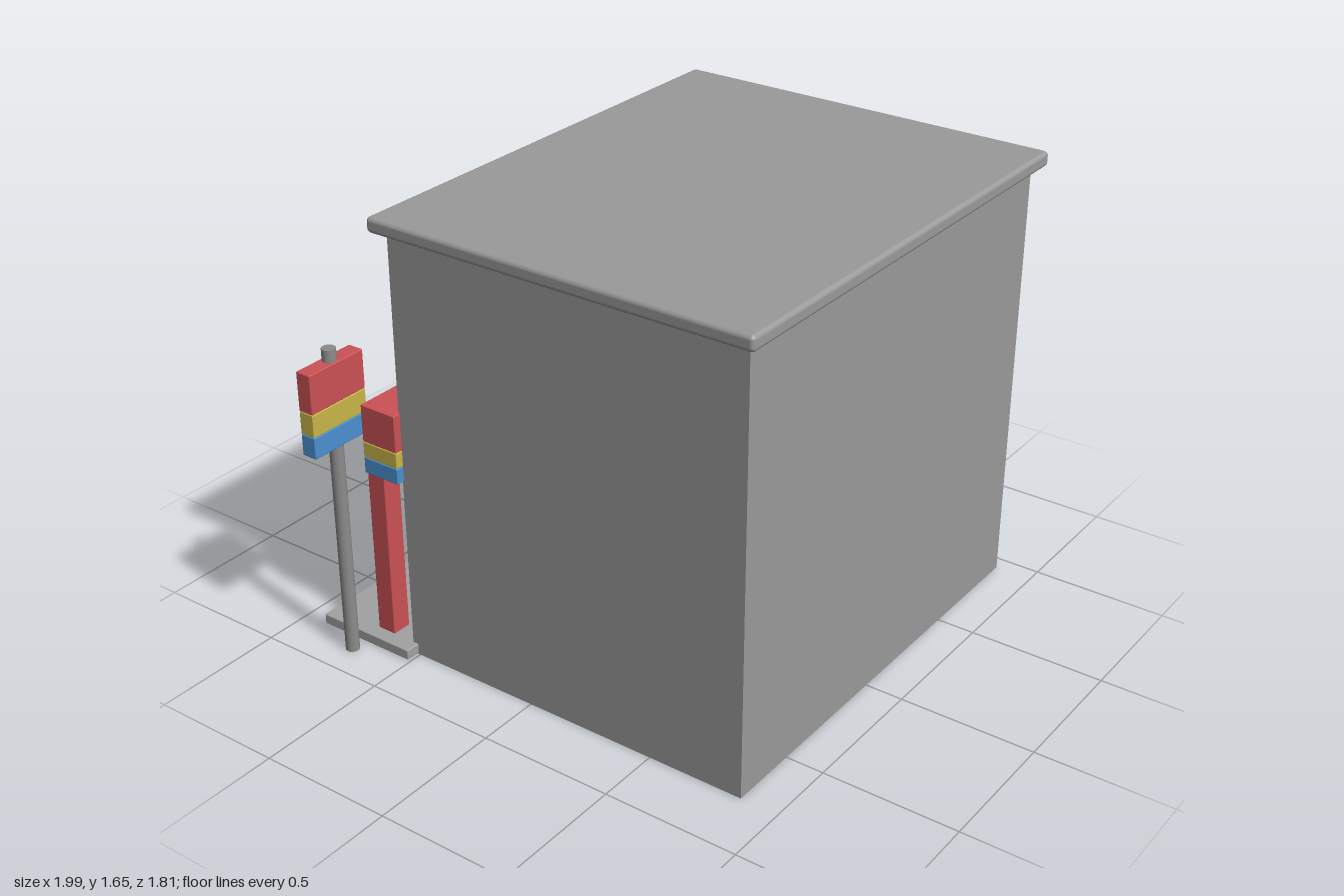
import * as THREE from 'three';
import { RoundedBoxGeometry } from 'three/addons/geometries/RoundedBoxGeometry.js';

const paint = (name, color) => {
  const m = new THREE.MeshStandardMaterial({ color });
  m.name = name;
  return m;
};

export function createModel() {
  const grey = paint('wall grey', 0x9a9a9a);
  const paving = paint('paving grey', 0xa2a2a2);
  const steel = paint('steel grey', 0x8c8c8c);
  const glass = paint('glass', 0xa6aeb2);
  const lampGlass = paint('lamp white', 0xc2cacf);
  const red = paint('red', 0xcb5154);
  const yellow = paint('yellow', 0xc8b648);
  const blue = paint('blue', 0x4a90d0);

  const model = new THREE.Group();
  model.name = 'shop';

  // Box given by its limits; a radius rounds the edges
  const box = (name, mat, [x0, x1], [y0, y1], [z0, z1], radius = 0) => {
    const size = [x1 - x0, y1 - y0, z1 - z0];
    const geo = radius ? new RoundedBoxGeometry(...size, 3, radius) : new THREE.BoxGeometry(...size);
    const mesh = new THREE.Mesh(geo, mat);
    mesh.name = name;
    mesh.position.set((x0 + x1) / 2, (y0 + y1) / 2, (z0 + z1) / 2);
    model.add(mesh);
    return mesh;
  };

  // Building shell
  box('walls', grey, [-0.765, 0.94], [0, 1.61], [-0.53, 0.86]);
  box('roof', grey, [-0.81, 0.99], [1.6, 1.655], [-0.578, 0.9], 0.016);
  box('pavement', paving, [-0.82, 0.99], [0.003, 0.042], [-0.905, -0.508], 0.004);

  // Shop window and door
  box('shopWindow', glass, [-0.62, 0.785], [0.042, 0.7], [-0.55, -0.525]);
  box('door', red, [-0.14, 0.32], [0.042, 0.63], [-0.565, -0.53]);

  // Upper windows with sills
  for (const cx of [-0.345, 0.51]) {
    box('upperWindow', glass, [cx - 0.245, cx + 0.245], [1.09, 1.43], [-0.549, -0.525], 0.004);
    box('windowSill', paving, [cx - 0.275, cx + 0.275], [1.068, 1.092], [-0.585, -0.525], 0.009);
  }
  box('wallLamp', lampGlass, [-0.03, 0.197], [1.04, 1.18], [-0.617, -0.528], 0.014);

  // Striped fascia with its sign board
  const stripes = [[red, 'red'], [yellow, 'yellow'], [blue, 'blue']];
  const fasciaY = [0.95, 0.81, 0.75, 0.69];
  const poleY = [1.135, 0.99, 0.905, 0.825];
  stripes.forEach(([mat, label], i) => {
    box(label + 'Fascia', mat, [-0.795, 0.967], [fasciaY[i + 1], fasciaY[i]], [-0.675, -0.525], 0.004);
    box(label + 'PoleSign', mat, [-1, -0.75], [poleY[i + 1], poleY[i]], [-0.75, -0.69], 0.004);
  });
  box('signBoard', red, [-0.42, 0.593], [0.805, 0.93], [-0.695, -0.67]);

  // Columns under the fascia
  for (const cx of [-0.73, 0.9]) {
    box('column', red, [cx - 0.038, cx + 0.038], [0.042, 0.725], [-0.69, -0.615], 0.004);
  }

  // Street sign pole
  const pole = new THREE.Mesh(new THREE.CylinderGeometry(0.025, 0.025, 1.18, 24), steel);
  pole.name = 'signPole';
  pole.position.set(-0.875, 0.59, -0.72);
  model.add(pole);

  return model;
}
